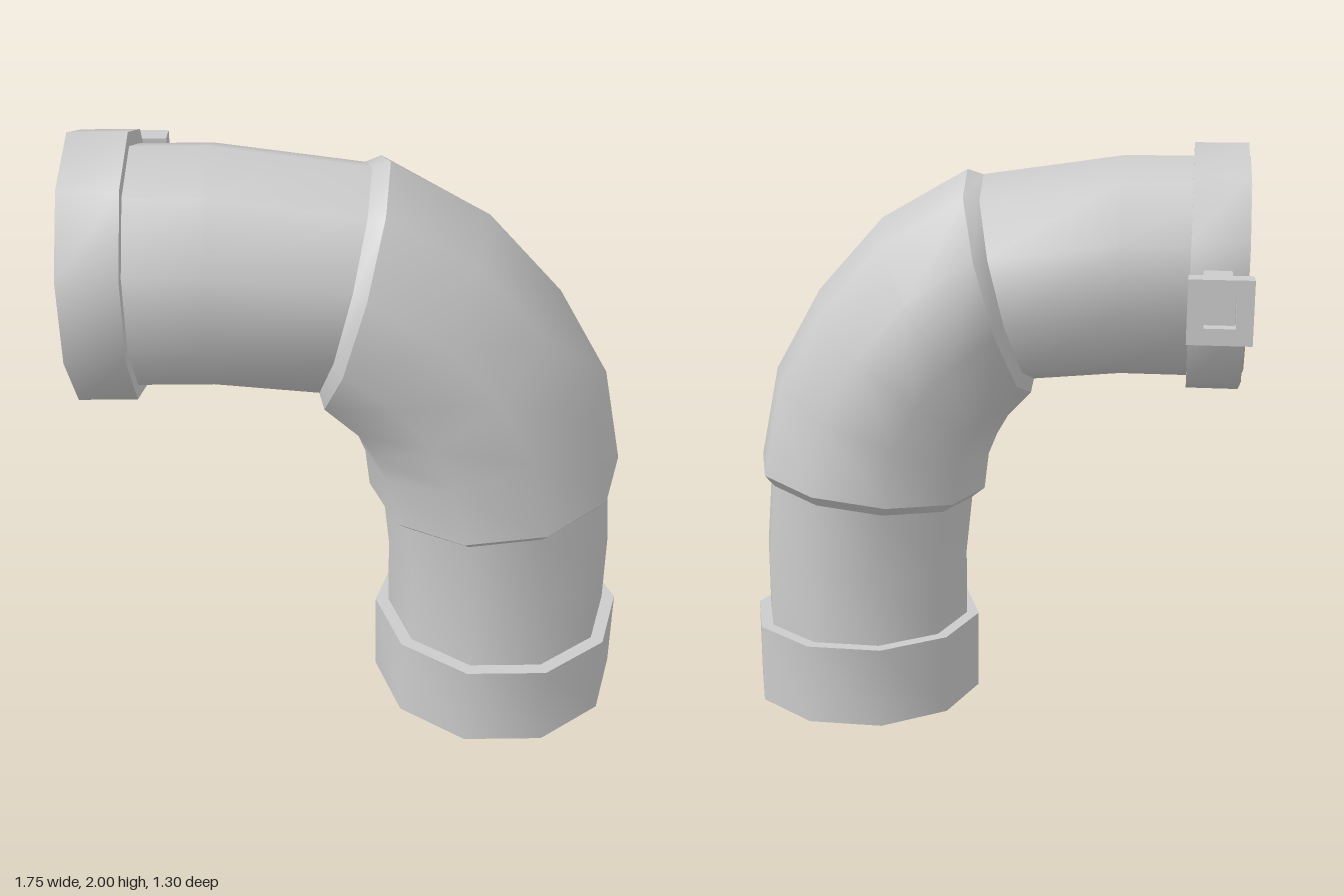
import * as THREE from 'three';

const SIDES = 10, AXIS_Z = 0.25;
const material = new THREE.MeshStandardMaterial({ color: 0xcccccc, side: THREE.DoubleSide });

// Skin over ten-sided rings; each ring is [outer x, outer y, inner x, inner y, half depth]
function loft(name, rings) {
  const pos = [], index = [];
  for (const [ox, oy, ix, iy, rz] of rings) {
    const cx = (ox + ix) / 2, cy = (oy + iy) / 2;
    for (let j = 0; j < SIDES; j++) {
      const a = (j / SIDES) * Math.PI * 2, c = Math.cos(a);
      pos.push(cx + (ox - cx) * c, cy + (oy - cy) * c, AXIS_Z + rz * Math.sin(a));
    }
  }
  for (let i = 0; i < rings.length - 1; i++) {
    for (let j = 0; j < SIDES; j++) {
      const k = (j + 1) % SIDES;
      const a = i * SIDES + j, b = i * SIDES + k, c = a + SIDES, d = b + SIDES;
      index.push(a, b, c, b, d, c);
    }
  }
  const geo = new THREE.BufferGeometry();
  geo.setAttribute('position', new THREE.Float32BufferAttribute(pos, 3));
  geo.setIndex(index);
  geo.computeVertexNormals();
  const mesh = new THREE.Mesh(geo, material);
  mesh.name = name;
  return mesh;
}

// Rings of the straight ends: upright at a given x, level at a given y
const upright = (x, r) => [x, 1.583 + r, x, 1.583 - r, r];
const level = (y, r) => [0.455 + r, y, 0.455 - r, y, r];

// Separate bands keep the edges between them sharp
function bands(name, rings) {
  const group = new THREE.Group();
  group.name = name;
  for (let i = 0; i < rings.length - 1; i++) group.add(loft(name + 'Band' + i, [rings[i], rings[i + 1]]));
  return group;
}

export function createModel() {
  const model = new THREE.Group();
  model.name = 'elbowPipe';
  const R = 0.374, C = 0.418;

  // Pipe ends where they meet the elbow sleeve
  const upperJoint = [0.02, 1.888, -0.16, 1.18, R];
  const lowerJoint = [0.805, 0.82, 0.06, 0.735, R];

  // Elbow sleeve, from the upper end round to the lower end
  const sleeve = [
    [0.075, 1.905, -0.15, 1.13, 0.42],
    [0.375, 1.735, -0.07, 1.045, 0.42],
    [0.605, 1.48, -0.03, 0.975, 0.42],
    [0.77, 1.19, 0, 0.9, 0.42],
    [0.837, 0.865, 0.015, 0.77, 0.42],
  ];

  model.add(
    loft('upperPipe', [upright(-0.875, R), upright(-0.46, R), upperJoint]),
    loft('upperSleeveLip', [upperJoint, sleeve[0]]),
    loft('elbowSleeve', sleeve),
    loft('lowerSleeveLip', [sleeve[4], lowerJoint]),
    loft('lowerPipe', [lowerJoint, level(0.53, R), level(0.285, R)]),
    bands('upperCollar', [upright(-0.868, R), upright(-0.868, C), upright(-0.69, C), upright(-0.69, R)]),
    bands('lowerCollar', [level(0.285, R), level(0.285, C), level(0, C)]),
  );

  // Valve stem on the back of the upper collar
  const stem = new THREE.Mesh(new THREE.BoxGeometry(0.09, 0.09, 0.47), material);
  stem.name = 'valveStem';
  stem.position.set(-0.775, 1.587, -0.365);
  model.add(stem);

  // Square valve head, hollow at its end
  const square = (Type, s) => new Type([[-s, -s], [s, -s], [s, s], [-s, s]].map(([x, y]) => new THREE.Vector2(x, y)));
  const shape = square(THREE.Shape, 0.093);
  shape.holes.push(square(THREE.Path, 0.045));
  const head = new THREE.Mesh(new THREE.ExtrudeGeometry(shape, { depth: 0.085, bevelEnabled: false }), material);
  head.name = 'valveHead';
  head.position.set(-0.777, 1.587, -0.655);
  model.add(head);

  return model;
}
